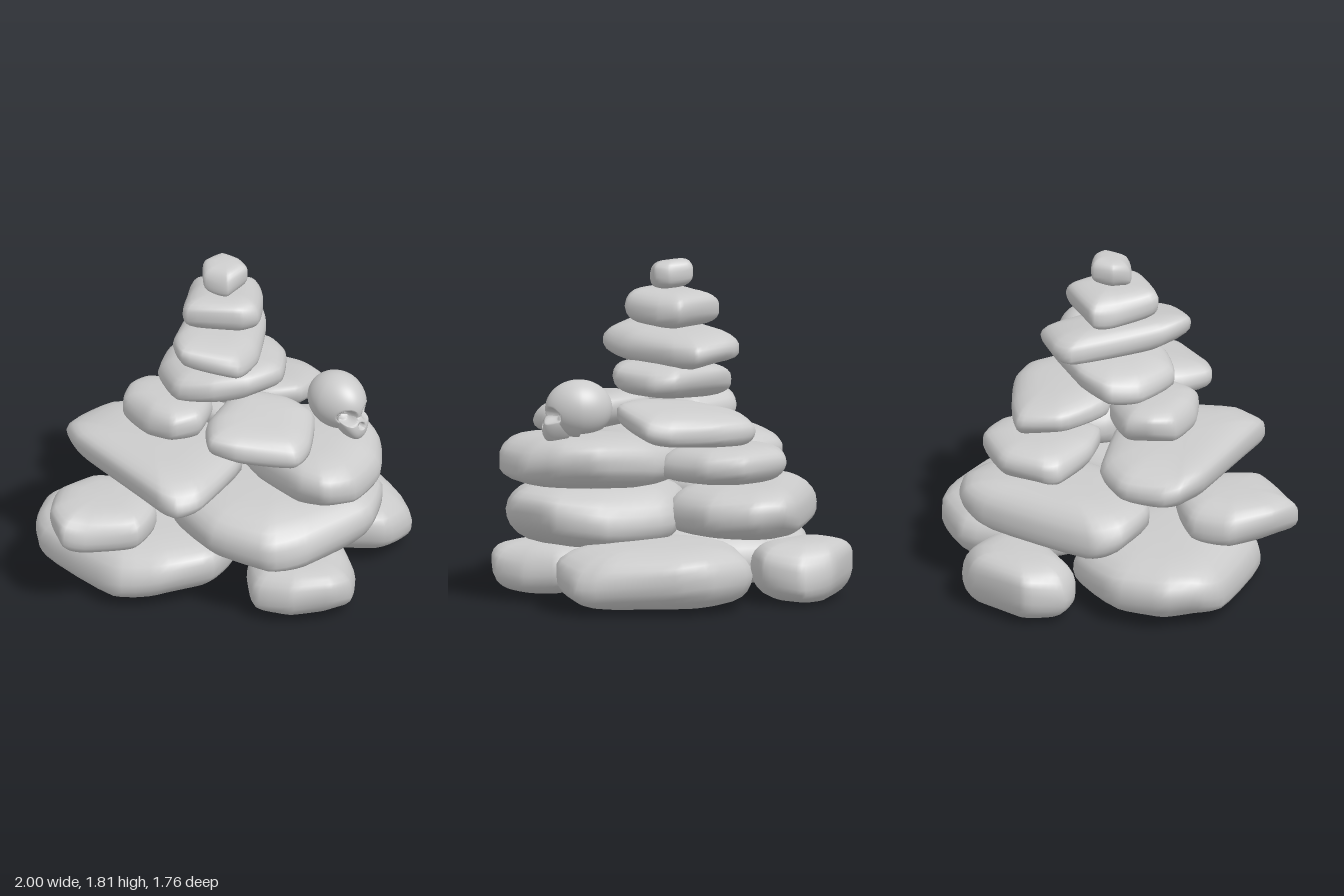
import * as THREE from 'three';
import { mergeVertices } from 'three/addons/utils/BufferGeometryUtils.js';

const material = new THREE.MeshStandardMaterial({ color: 0xcccccc });

// One rounded stone: plan outline [x, z, ...], bottom, top, and slope of the slab along x and z
function stone(name, bottom, top, plan, slopeX = 0, slopeZ = 0) {
  const pts = [];
  for (let i = 0; i < plan.length; i += 2) pts.push(new THREE.Vector3(plan[i], 0, plan[i + 1]));
  const area = pts.reduce((s, p, i) => {
    const q = pts[(i + 1) % pts.length];
    return s + p.x * q.z - q.x * p.z;
  }, 0);
  if (area > 0) pts.reverse();
  const c = new THREE.Box3().setFromPoints(pts).getCenter(new THREE.Vector3());
  const n = 40, rows = 14;
  const outline = new THREE.CatmullRomCurve3(pts, true, 'catmullrom', 0.25).getPoints(n).slice(0, n);
  const seed = c.x * 17 + c.z * 11 + bottom * 23;
  const mid = (bottom + top) / 2, half = (top - bottom) / 2;
  const pos = [], index = [];
  for (let i = 0; i <= rows; i++) {
    const phi = (i / rows - 0.5) * Math.PI;
    const s = Math.sin(phi);
    const h = Math.sign(s) * Math.pow(Math.abs(s), 0.85);
    const r = i === 0 || i === rows ? 0 : Math.pow(Math.cos(phi), 0.56);
    for (let j = 0; j < n; j++) {
      // The rim wanders up and down and the shoulders vary, so the stone looks worn
      const a = (j / n) * Math.PI * 2;
      const k = r * (1 + 0.05 * Math.abs(h) * Math.sin(3 * a + seed + 2 * h));
      const rim = 0.2 * half * r * (1 - h * h) * Math.sin(2 * a + seed * 1.7);
      const dx = (outline[j].x - c.x) * k, dz = (outline[j].z - c.z) * k;
      pos.push(c.x + dx, mid + half * h + rim + slopeX * dx + slopeZ * dz, c.z + dz);
      if (i < rows) {
        const p = i * n + j, q = i * n + (j + 1) % n;
        index.push(p, q, q + n, p, q + n, p + n);
      }
    }
  }
  const g = new THREE.BufferGeometry();
  g.setAttribute('position', new THREE.Float32BufferAttribute(pos, 3));
  g.setIndex(index);
  const geo = mergeVertices(g, 1e-5);
  geo.computeVertexNormals();
  const mesh = new THREE.Mesh(geo, material);
  mesh.name = name;
  return mesh;
}

// Ellipsoid whose vertices are moved by a rule
function sculpt(name, rx, ry, rz, rule) {
  let g = new THREE.SphereGeometry(1, 96, 64).scale(rx, ry, rz);
  g.deleteAttribute('uv');
  g.deleteAttribute('normal');
  g = mergeVertices(g, 1e-5);
  const p = g.attributes.position, v = new THREE.Vector3();
  for (let i = 0; i < p.count; i++) {
    v.fromBufferAttribute(p, i);
    rule(v);
    p.setXYZ(i, v.x, v.y, v.z);
  }
  g.computeVertexNormals();
  const mesh = new THREE.Mesh(g, material);
  mesh.name = name;
  return mesh;
}

function skull() {
  const group = new THREE.Group();
  group.name = 'skull';
  // Presses a round hollow of radius r into the face
  const dent = (v, x, y, r, depth) => {
    const d = Math.hypot(v.x - x, v.y - y) / r;
    if (v.z > 0) v.z -= depth * (1 - THREE.MathUtils.smoothstep(d, 0.65, 1.1));
  };
  const jawY = -0.09;
  const eyes = (v, offset) => [-1, 1].forEach((s) => dent(v, s * 0.06, -0.03 - offset, 0.042, 0.06));

  // Cranium: narrower towards the face, flattened below at the back
  group.add(sculpt('cranium', 0.145, 0.155, 0.18, (v) => {
    if (v.z > 0) v.x *= 1 - 0.6 * v.z;
    else if (v.y < -0.11) v.y = -0.11 + (v.y + 0.11) * 0.6;
    eyes(v, 0);
  }));
  // Cheeks and upper jaw in one tapering mass, with the nose opening
  const face = sculpt('upperJaw', 0.08, 0.092, 0.085, (v) => {
    v.x = Math.sign(v.x) * Math.pow(Math.abs(v.x) / 0.08, 0.75) * 0.08;
    v.z = Math.sign(v.z) * Math.pow(Math.abs(v.z) / 0.085, 0.75) * 0.085;
    v.x *= 1.02 + 4 * v.y;
    v.z -= 0.15 * v.y;
    eyes(v, jawY);
    dent(v, 0, 0.005, 0.02, 0.035);
  });
  face.position.set(0, jawY, 0.11);
  group.add(face);
  group.position.set(0.62, 1.065, 0.2);
  group.rotation.y = Math.PI / 4;
  return group;
}

export function createModel() {
  const model = new THREE.Group();
  model.name = 'stoneCairn';
  model.add(
    // Base course
    stone('baseStoneLeft', 0.02, 0.36, [-1, 0.12, -0.95, -0.08, -0.72, -0.27, -0.3, -0.3, 0, 0, 0.08, 0.33,
      -0.02, 0.6, -0.3, 0.71, -0.57, 0.68, -0.96, 0.28]),
    stone('baseStoneFront', 0.03, 0.31, [0.15, 0.53, 0.2, 0.33, 0.4, 0.26, 0.65, 0.3, 0.73, 0.5, 0.72, 0.7,
      0.62, 0.8, 0.4, 0.84, 0.2, 0.76]),
    stone('baseStoneRight', 0.03, 0.365, [0.25, -0.7, 0.55, -0.68, 0.72, -0.55, 0.97, -0.2, 1, -0.07, 0.87, 0.15,
      0.45, 0.21, 0.08, 0.14, -0.05, -0.1, -0.03, -0.38], -0.03, 0.03),
    stone('baseStoneBack', 0.01, 0.34, [-0.63, -0.5, -0.57, -0.72, -0.22, -0.88, -0.02, -0.82, 0.05, -0.6,
      -0.1, -0.4, -0.5, -0.38]),
    // Second course
    stone('secondStoneFront', 0.3, 0.65, [-0.26, 0.42, -0.05, 0.74, 0.28, 0.88, 0.5, 0.8, 0.82, 0.52, 0.86, 0.2,
      0.7, -0.05, 0.3, -0.2, -0.1, 0.05]),
    stone('secondStoneLeft', 0.37, 0.62, [-0.88, 0.35, -0.9, 0.6, -0.83, 0.78, -0.7, 0.8, -0.42, 0.76, -0.33, 0.55,
      -0.42, 0.25, -0.7, 0.2]),
    stone('secondStoneBack', 0.35, 0.65, [-0.74, -0.2, -0.68, -0.38, -0.08, -0.75, 0.08, -0.79, 0.24, -0.7,
      0.35, -0.45, 0.25, -0.1, -0.15, 0.1, -0.58, 0.02]),
    // Third course
    stone('thirdStoneLeft', 0.63, 0.87, [-0.84, 0.08, -0.8, -0.02, -0.63, -0.18, -0.38, -0.18, 0, 0.1, 0.12, 0.4,
      -0.07, 0.8, -0.2, 0.87, -0.32, 0.8, -0.78, 0.25]),
    stone('thirdStoneRight', 0.62, 0.91, [0.06, 0.1, 0.18, 0.38, 0.42, 0.67, 0.58, 0.74, 0.74, 0.65, 0.86, 0.4,
      0.85, 0.18, 0.72, -0.02, 0.4, -0.15, 0.12, -0.08], 0.03),
    stone('thirdStoneBack', 0.65, 0.86, [-0.32, -0.38, -0.28, -0.48, -0.1, -0.64, 0.2, -0.6, 0.34, -0.42,
      0.3, -0.1, 0, 0, -0.2, -0.14]),
    // Fourth course
    stone('fourthStoneLeft', 0.88, 1.09, [-0.53, 0.2, -0.5, 0.06, -0.4, -0.05, -0.12, 0, -0.05, 0.2, -0.1, 0.4,
      -0.25, 0.46, -0.4, 0.38]),
    stone('fourthStoneRight', 0.9, 1.09, [-0.07, 0.42, -0.05, 0.63, 0.1, 0.68, 0.42, 0.68, 0.49, 0.55, 0.5, 0.3,
      0.36, 0.2, 0.08, 0.15], -0.06, -0.13),
    stone('fourthStoneBack', 0.87, 1.06, [-0.15, -0.3, -0.02, -0.5, 0.2, -0.43, 0.45, -0.3, 0.53, -0.18,
      0.42, 0.1, 0.2, 0.15, -0.1, 0], 0, 0.15),
    // Upper stack
    stone('fifthStone', 1.07, 1.27, [-0.35, 0.08, -0.3, -0.1, -0.1, -0.18, 0.25, -0.17, 0.33, -0.05, 0.32, 0.2,
      0.15, 0.34, -0.05, 0.37, -0.25, 0.32], 0.08),
    stone('sixthStone', 1.27, 1.46, [-0.17, -0.25, -0.05, -0.31, 0.18, -0.27, 0.22, -0.1, 0.2, 0.25, 0.1, 0.46,
      -0.2, 0.44, -0.26, 0.25], -0.13, 0.05),
    stone('seventhStone', 1.46, 1.66, [-0.2, 0.25, -0.2, 0, -0.16, -0.13, 0.16, -0.13, 0.21, 0, 0.2, 0.22,
      0.1, 0.28], 0, 0.06),
    stone('topStone', 1.66, 1.815, [-0.11, 0.02, -0.02, -0.06, 0.1, 0, 0.13, 0.08, 0.03, 0.19, -0.1, 0.13], 0, -0.15),
    skull()
  );
  return model;
}
